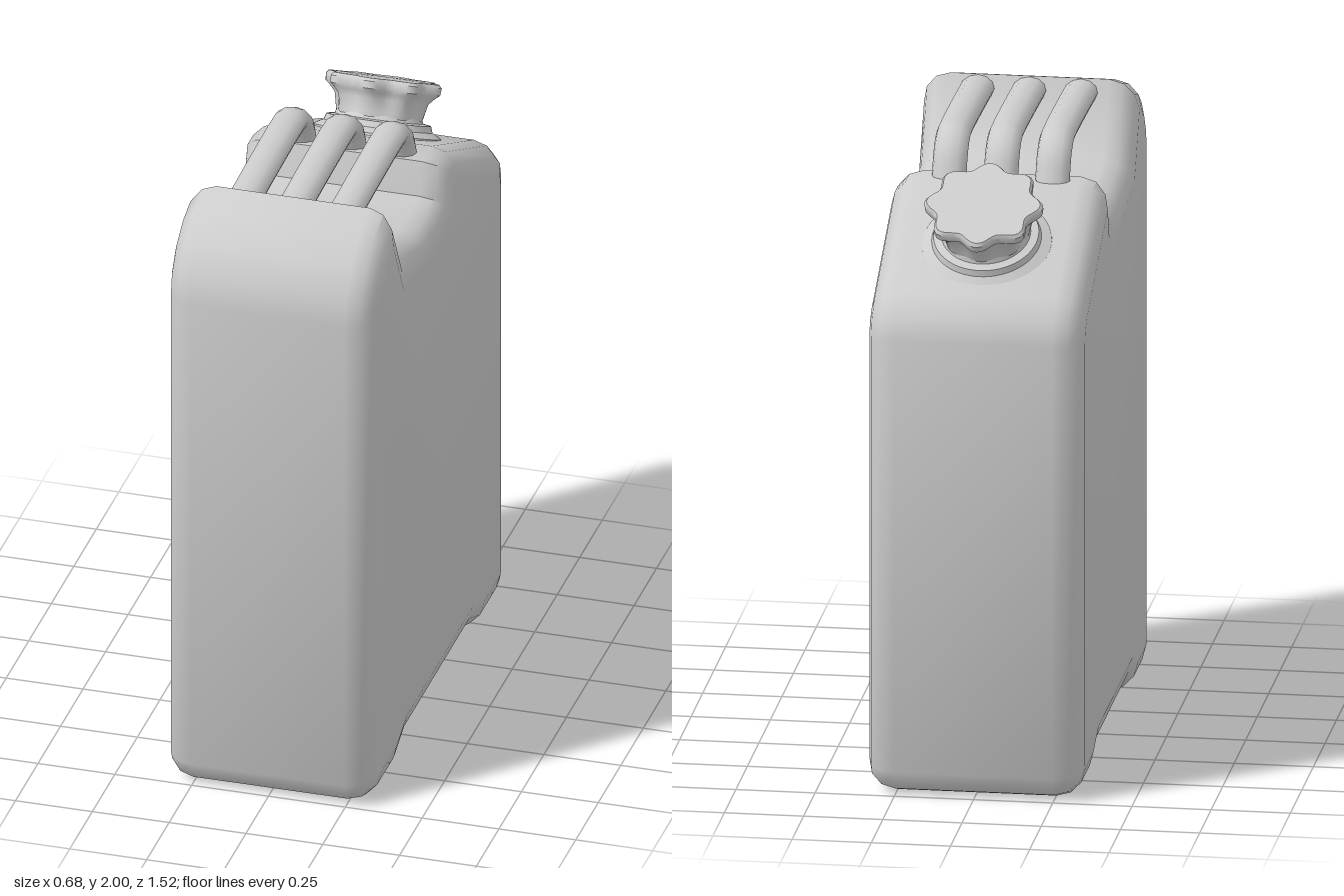
import * as THREE from 'three';
import { toCreasedNormals } from 'three/addons/utils/BufferGeometryUtils.js';

export function createModel() {
  const model = new THREE.Group();
  model.name = 'fuelCan';
  const grey = new THREE.MeshStandardMaterial({ color: 0xcccccc });
  grey.name = 'grey';

  const add = (parent, name, geometry) => {
    const mesh = new THREE.Mesh(geometry, grey);
    mesh.name = name;
    parent.add(mesh);
    return mesh;
  };

  // Body: side outline as (z, y), extruded across x with a rounded edge
  const outline = [
    [0.76, 0.08], [0.76, 1.72], [0.745, 1.806], [0.685, 1.895], [0.6, 1.955], [0.475, 1.993],
    [0.35, 1.762], [0.14, 1.738], [0, 1.738], [-0.07, 1.745], [-0.105, 1.85], [-0.21, 1.85],
    [-0.675, 1.625], [-0.74, 1.565], [-0.76, 1.49], [-0.76, 0.08], [-0.73, 0.02], [-0.67, 0],
    [-0.47, 0], [-0.35, 0.05], [0.35, 0.05], [0.47, 0], [0.67, 0], [0.73, 0.02],
  ];
  const bevel = 0.09, width = 0.68;
  const body = new THREE.ExtrudeGeometry(
    new THREE.Shape(outline.map(([z, y]) => new THREE.Vector2(z, y))),
    {
      depth: width - 2 * bevel, bevelEnabled: true, bevelThickness: bevel,
      bevelSize: bevel, bevelOffset: -bevel, bevelSegments: 3,
    },
  );
  body.translate(0, 0, bevel - width / 2).rotateY(-Math.PI / 2);
  add(model, 'body', toCreasedNormals(body, 1.0));

  // Three parallel carrying handles, wider than they are thick
  const path = new THREE.CatmullRomCurve3([
    [0.48, 1.952], [0.2, 1.961], [0, 1.963], [-0.07, 1.957], [-0.12, 1.92], [-0.155, 1.85], [-0.18, 1.78],
  ].map(([z, y]) => new THREE.Vector3(0, y, z)));
  const bar = new THREE.TubeGeometry(path, 32, 0.038, 12, false);
  bar.scale(1.43, 1, 1);
  const handles = new THREE.Group();
  handles.name = 'handles';
  model.add(handles);
  ['rightHandle', 'middleHandle', 'leftHandle'].forEach((name, i) => {
    add(handles, name, bar).position.x = (i - 1) * 0.163;
  });

  // Filler neck and cap, tilted square to the sloping shoulder
  const filler = new THREE.Group();
  filler.name = 'filler';
  filler.position.set(0, 1.728, -0.455);
  filler.rotation.x = -0.48;
  model.add(filler);
  const lathe = (points) =>
    new THREE.LatheGeometry(points.map(([r, y]) => new THREE.Vector2(r, y)), 64);

  add(filler, 'neck', toCreasedNormals(lathe([
    [0.205, -0.03], [0.203, 0.005], [0.172, 0.022], [0.165, 0.042], [0.14, 0.046], [0.13, 0.07],
  ]), 0.7));

  // Cap flares upward into eight finger lobes
  const cap = lathe([
    [0.132, 0.035], [0.138, 0.07], [0.142, 0.11], [0.158, 0.13], [0.171, 0.142],
    [0.173, 0.165], [0.165, 0.175], [0, 0.177],
  ]);
  const p = cap.attributes.position;
  for (let i = 0; i < p.count; i++) {
    const x = p.getX(i), z = p.getZ(i);
    const lobe = 0.09 * THREE.MathUtils.smoothstep(p.getY(i), 0.03, 0.14);
    const k = 1 + lobe * Math.cos(8 * Math.atan2(z, x));
    p.setX(i, x * k);
    p.setZ(i, z * k);
  }
  add(filler, 'cap', toCreasedNormals(cap, 0.75));

  return model;
}
